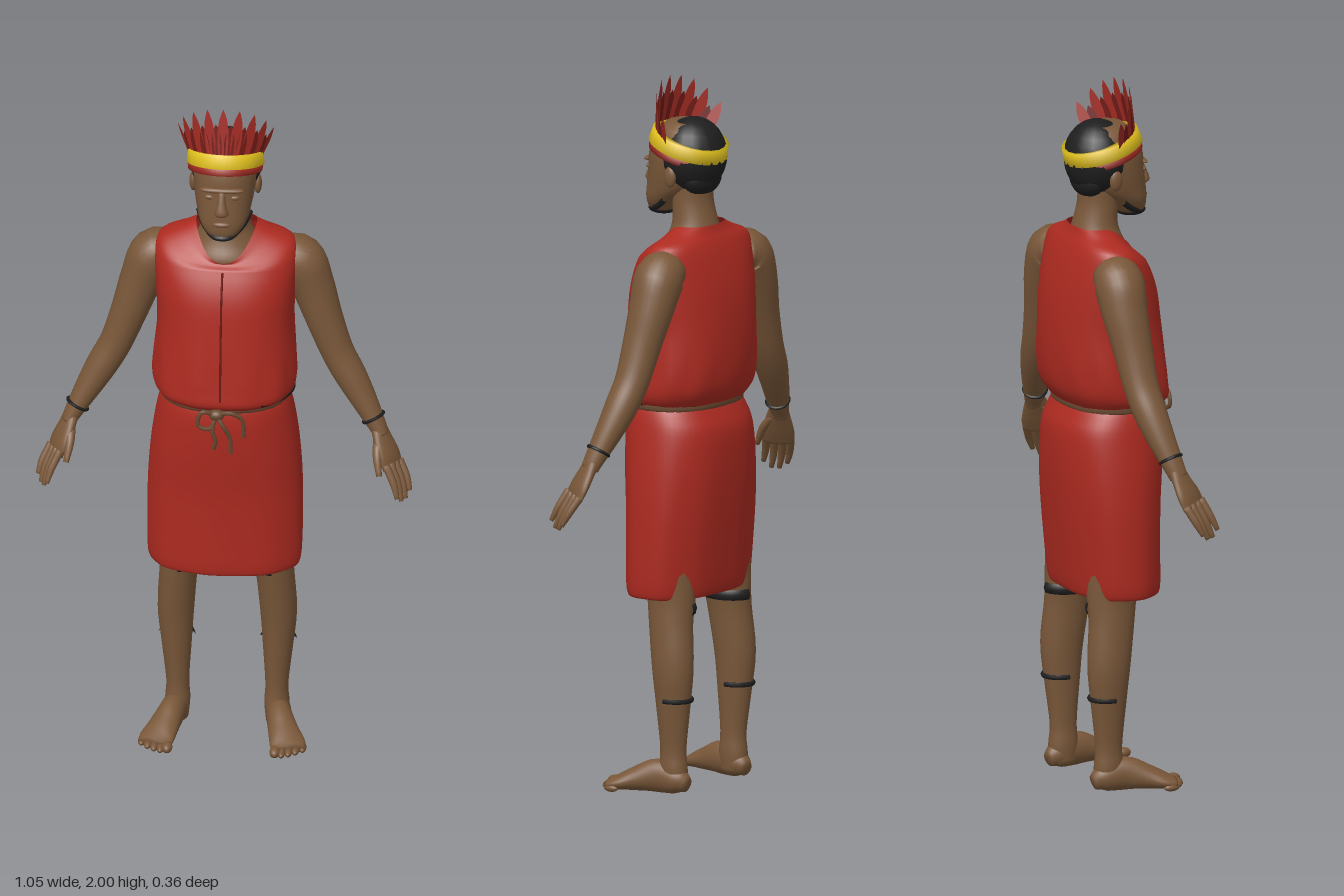
import * as THREE from 'three';

const mat = (name, color, side = THREE.FrontSide) => {
  const m = new THREE.MeshStandardMaterial({ color, side });
  m.name = name;
  return m;
};
const V = (x, y, z) => new THREE.Vector3(x, y, z);
const UP = V(0, 1, 0), FRONT = V(0, 0, 1);

// Smooth skin through elliptical sections [x, y, z, a, b]; b lies along ref, a across it.
function loft(rows, { ref = FRONT, dir = null, n = 28, steps = 4, power = 2, caps = true, warp = null } = {}) {
  const centres = new THREE.CatmullRomCurve3(rows.map(r => V(r[0], r[1], r[2])), false, 'catmullrom');
  const radii = new THREE.CatmullRomCurve3(rows.map(r => V(r[3], r[4], 0)), false, 'catmullrom');
  const count = (rows.length - 1) * steps, pos = [], idx = [];
  for (let i = 0; i <= count; i++) {
    const k = i / count, c = centres.getPoint(k), r = radii.getPoint(k);
    const t = dir ? dir.clone() : centres.getTangent(k);
    const v = ref.clone().addScaledVector(t, -ref.dot(t)).normalize();
    const u = v.clone().cross(t);
    for (let j = 0; j < n; j++) {
      const q = j / n * Math.PI * 2, cs = Math.cos(q), sn = Math.sin(q);
      const p = c.clone()
        .addScaledVector(u, r.x * Math.sign(cs) * Math.abs(cs) ** (2 / power))
        .addScaledVector(v, r.y * Math.sign(sn) * Math.abs(sn) ** (2 / power));
      if (warp) warp(p, q, k);
      pos.push(p.x, p.y, p.z);
    }
  }
  for (let i = 0; i < count; i++) for (let j = 0; j < n; j++) {
    const a = i * n + j, b = i * n + (j + 1) % n;
    idx.push(a, b, a + n, b, b + n, a + n);
  }
  if (caps) {
    const e = pos.length / 3, last = count * n;
    pos.push(...centres.getPoint(0).toArray(), ...centres.getPoint(1).toArray());
    for (let j = 0; j < n; j++) {
      const k = (j + 1) % n;
      idx.push(e, k, j, e + 1, last + j, last + k);
    }
  }
  const g = new THREE.BufferGeometry();
  g.setAttribute('position', new THREE.Float32BufferAttribute(pos, 3));
  g.setIndex(idx);
  g.computeVertexNormals();
  return g;
}
// Upright rows [y, half width, front z, back z]
const upright = rows => rows.map(([y, w, f, b]) => [0, y, (f + b) / 2, w, (f - b) / 2]);
const ball = (x, y, z, a, b, c) => new THREE.SphereGeometry(1, 20, 14).scale(a, b, c).translate(x, y, z);
const cord = (pts, r) => new THREE.TubeGeometry(new THREE.CatmullRomCurve3(pts.map(p => V(...p))), 24, r, 6);

export function createModel() {
  const model = new THREE.Group();
  const skin = mat('skin', 0x795739), red = mat('redCloth', 0xac2a20, THREE.DoubleSide);
  const dark = mat('black', 0x1f1e1e), yellow = mat('yellow', 0xe2c21e);
  const feather = mat('featherRed', 0xa02a22, THREE.DoubleSide), seam = mat('darkRed', 0x6f1a15, THREE.DoubleSide);
  const rope = mat('rope', 0x6a4a31);
  const add = (name, geometry, material, parent = model) => {
    const m = new THREE.Mesh(geometry, material);
    m.name = name;
    parent.add(m);
    return m;
  };

  // Sleeveless shirt, with the neckline dropped at the front
  add('shirt', loft(upright([
    [1.09, .165, .14, -.125], [1.112, .19, .16, -.145], [1.15, .2, .158, -.165], [1.22, .197, .15, -.175],
    [1.32, .19, .137, -.175], [1.42, .195, .12, -.165], [1.5, .2, .085, -.145], [1.55, .187, .042, -.125],
    [1.577, .125, .02, -.108], [1.597, .085, .01, -.1]]), {
    dir: UP, n: 48, power: 2.4, caps: false,
    warp: (p, q) => {
      const t = Math.max(0, (p.y - 1.5) / .097), f = Math.max(0, Math.sin(q)) ** 2;
      const fold = .004 * Math.sin(q * 11) * Math.max(0, 1 - Math.abs(p.y - 1.18) / .12);
      p.x *= 1 + fold * 4;
      p.z = p.z * (1 + fold * 4) + t * f * .06;
      p.y -= t * f * .078;
    } }), red);
  add('shirtSeam', cord([[0, 1.5, .087], [0, 1.42, .121], [0, 1.32, .138], [0, 1.22, .151], [0, 1.13, .161]], .003), seam);

  // Knee-length skirt with soft folds
  add('skirt', loft(upright([
    [.61, .19, .1, -.11], [.558, .202, .113, -.122], [.575, .213, .122, -.133], [.66, .216, .123, -.143],
    [.8, .215, .126, -.157], [.92, .207, .136, -.165], [1.02, .193, .141, -.163], [1.07, .182, .138, -.143],
    [1.1, .17, .13, -.125]]), {
    dir: UP, n: 56, power: 2.3,
    warp: (p, q, k) => {
      const f = 1 + .012 * Math.sin(q * 9 + 1) * (1 - k);
      p.x *= f;
      p.z *= f;
    } }), red);

  // Belt with a tied knot and hanging ends
  const belt = new THREE.Group();
  belt.name = 'belt';
  model.add(belt);
  add('beltBand', loft(upright([[1.082, .174, .136, -.128], [1.09, .18, .145, -.136], [1.108, .18, .146, -.136],
    [1.116, .172, .136, -.128]]), { dir: UP, power: 2.3 }), rope, belt);
  const sash = [];
  for (let i = 0; i <= 6; i++) sash.push([.185 * Math.cos(i * .16), 1.113, .152 * Math.sin(i * .16) + .005]);
  add('beltDarkPart', cord(sash, .013), dark, belt);
  add('knot', ball(-.01, 1.088, .157, .022, .016, .017), rope, belt);
  [[[-.01, 1.09, .16], [.01, 1.06, .172], [.028, 1.02, .165], [.03, .97, .16]],
    [[-.01, 1.09, .16], [-.02, 1.05, .172], [-.012, 1.01, .17], [-.018, .985, .165]],
    [[-.01, 1.09, .16], [.03, 1.1, .168], [.06, 1.08, .16], [.065, 1.02, .155]],
    [[-.01, 1.09, .16], [-.05, 1.1, .17], [-.06, 1.06, .17], [-.03, 1.05, .17], [-.01, 1.085, .16]]]
    .forEach(p => add('tie', cord(p, .006), rope, belt));

  // Neck and head
  add('neck', loft(upright([[1.48, .12, .06, -.11], [1.52, .11, .062, -.115], [1.56, .085, .042, -.106],
    [1.6, .067, .03, -.095], [1.66, .06, .032, -.08], [1.72, .06, .03, -.08]]), { dir: UP }), skin);
  const head = new THREE.Group();
  head.name = 'head';
  model.add(head);
  add('face', loft(upright([[1.612, .025, .1, .05], [1.63, .047, .115, .03], [1.66, .066, .118, 0], [1.7, .078, .115, -.06],
    [1.75, .086, .109, -.09], [1.8, .088, .104, -.1], [1.85, .078, .085, -.09], [1.88, .05, .05, -.06]]),
  { dir: UP, power: 2.2 }), skin, head);
  add('hair', ball(0, 1.785, -.025, .098, .108, .093), dark, head);
  add('napeHair', ball(0, 1.725, -.055, .072, .05, .043), dark, head);
  add('nose', loft([[0, 1.765, .104, .009, .008], [0, 1.735, .113, .012, .013], [0, 1.705, .118, .02, .018],
    [0, 1.692, .11, .014, .01]], { dir: V(0, -1, 0), n: 14 }), skin, head);
  add('brow', ball(0, 1.768, .098, .062, .009, .014), skin, head);
  add('lips', ball(0, 1.667, .113, .026, .009, .011), skin, head);
  add('beard', ball(0, 1.623, .078, .042, .016, .043), dark, head);
  for (const s of [1, -1]) {
    add('eyelid', ball(s * .034, 1.746, .098, .016, .008, .009), skin, head);
    add('ear', ball(s * .09, 1.735, -.012, .011, .03, .019), skin, head);
    add('jawBeard', cord([[s * .03, 1.625, .095], [s * .055, 1.64, .055], [s * .071, 1.665, .02]], .009), dark, head);
  }

  // Headband tilted down towards the back
  const headdress = new THREE.Group();
  headdress.name = 'headdress';
  model.add(headdress);
  const band = (name, y0, y1, r0, r1, inner, material) => {
    const pts = [[.88, y0], [r0, y0], [r1, y1], [inner, y1], [.88, y0]].map(p => new THREE.Vector2(...p));
    const m = add(name, new THREE.LatheGeometry(pts, 48).scale(.105, 1, .111), material, headdress);
    m.position.set(0, 1.808, -.008);
    m.rotation.x = -.29;
  };
  band('lowerBand', -.026, -.006, .98, 1.01, .88, feather);
  band('upperBand', -.006, .033, 1.03, .99, .8, yellow);

  // Fan of pointed feathers
  const addFeather = (a, length, width, material) => {
    const base = V(.098 * Math.sin(a * 1.2), 1.845 - .03 * a * a, .083 - .075 * a * a);
    const tip = V(.137 * Math.sin(a * 1.35), 2 - .09 * a * a, .055 - .075 * a * a);
    const y = tip.clone().sub(base), L = y.length() * length;
    y.normalize();
    const z = V(base.x, 0, base.z + .03);
    z.addScaledVector(y, -z.dot(y)).normalize();
    const shape = new THREE.Shape();
    shape.moveTo(-width * .4, 0);
    shape.quadraticCurveTo(-width * 1.2, L * .65, 0, L);
    shape.quadraticCurveTo(width * 1.2, L * .65, width * .4, 0);
    const g = new THREE.ShapeGeometry(shape, 8);
    g.applyMatrix4(new THREE.Matrix4().makeBasis(y.clone().cross(z), y, z).setPosition(base));
    add('feather', g, material, headdress);
  };
  for (let i = -4; i <= 4; i++) addFeather(i / 4, 1, .022, feather);
  for (let i = -4; i < 4; i++) addFeather((i + .5) / 4, .72, .02, seam);

  for (const s of [1, -1]) {
    const side = s > 0 ? 'left' : 'right';
    const flip = rows => rows.map(([x, ...rest]) => [s * x, ...rest]);

    // Arm, palm, fingers and wristband
    const arm = new THREE.Group();
    arm.name = side + 'Arm';
    model.add(arm);
    add('arm', loft(flip([[.15, 1.49, -.06, .05, .055], [.2, 1.475, -.06, .07, .07], [.236, 1.4, -.06, .061, .065],
      [.27, 1.3, -.052, .052, .056], [.307, 1.2, -.045, .046, .05], [.345, 1.13, -.035, .044, .047],
      [.385, 1.06, -.02, .036, .039], [.427, .985, 0, .024, .029], [.435, .965, .006, .02, .027]])), skin, arm);
    const spread = V(-.5 * s, .1, .85).normalize();
    add('palm', loft(flip([[.424, .995, -.002, .02, .024], [.44, .955, .012, .018, .036], [.457, .915, .025, .017, .045],
      [.47, .88, .033, .012, .042]]), { ref: spread }), skin, arm);
    for (let i = 0; i < 4; i++) {
      const t = i / 3, drop = .018 * Math.sin(t * Math.PI);
      const a = V(.454, .9, .064).lerp(V(.485, .89, .004), t), b = V(.488, .815, .1).lerp(V(.518, .812, .04), t);
      b.y -= drop;
      const m = a.clone().lerp(b, .55);
      m.x += .004;
      add('finger', loft(flip([[a.x, a.y, a.z, .011, .012], [m.x, m.y, m.z, .01, .011], [b.x, b.y, b.z, .006, .007]]),
        { ref: spread, n: 10 }), skin, arm);
    }
    add('thumb', loft(flip([[.428, .965, .018, .012, .014], [.428, .925, .055, .012, .013], [.436, .875, .083, .007, .008]]),
      { ref: V(s, 0, 0), n: 10 }), skin, arm);
    const cuff = add('wristband', new THREE.TorusGeometry(.031, .005, 6, 24), dark, arm);
    cuff.position.set(s * .412, 1.013, -.007);
    cuff.quaternion.setFromUnitVectors(FRONT, V(s * .48, -.86, .2).normalize());

    // Leg, foot and toes
    const leg = new THREE.Group();
    leg.name = side + 'Leg';
    model.add(leg);
    add('leg', loft(flip([[.122, .68, -.035, .075, .08], [.127, .56, -.045, .058, .073], [.135, .48, -.05, .053, .066],
      [.143, .36, -.062, .051, .062], [.141, .25, -.062, .042, .051], [.138, .13, -.06, .032, .039],
      [.138, .07, -.06, .035, .043], [.138, .015, -.06, .03, .042]])), skin, leg);
    add('foot', loft(flip([[.136, .028, -.108, .018, .02], [.14, .04, -.075, .034, .039], [.149, .048, -.015, .036, .047],
      [.166, .035, .045, .043, .034], [.181, .023, .09, .05, .022], [.187, .016, .118, .046, .015]]), { ref: UP }), skin, leg);
    for (let i = 0; i < 5; i++) {
      const r = i ? .0105 : .015;
      add('toe', ball(s * (.15 + i * .0185), r, .133 - i * i * .0025, r, r, .023), skin, leg);
    }

    // Dark cords behind the calf and inside the knee
    const calf = new THREE.TorusGeometry(1, .12, 6, 24, Math.PI).rotateX(-Math.PI / 2).scale(.046, .06, .055);
    add('calfCord', calf.translate(s * .141, .27, -.062), dark, leg);
    const knee = new THREE.TorusGeometry(1, .12, 6, 24, Math.PI).rotateX(-Math.PI / 2).rotateY(s * Math.PI / 2);
    add('kneeCord', knee.scale(.055, .14, .069).translate(s * .131, .527, -.047), dark, leg);
  }
  return model;
}
